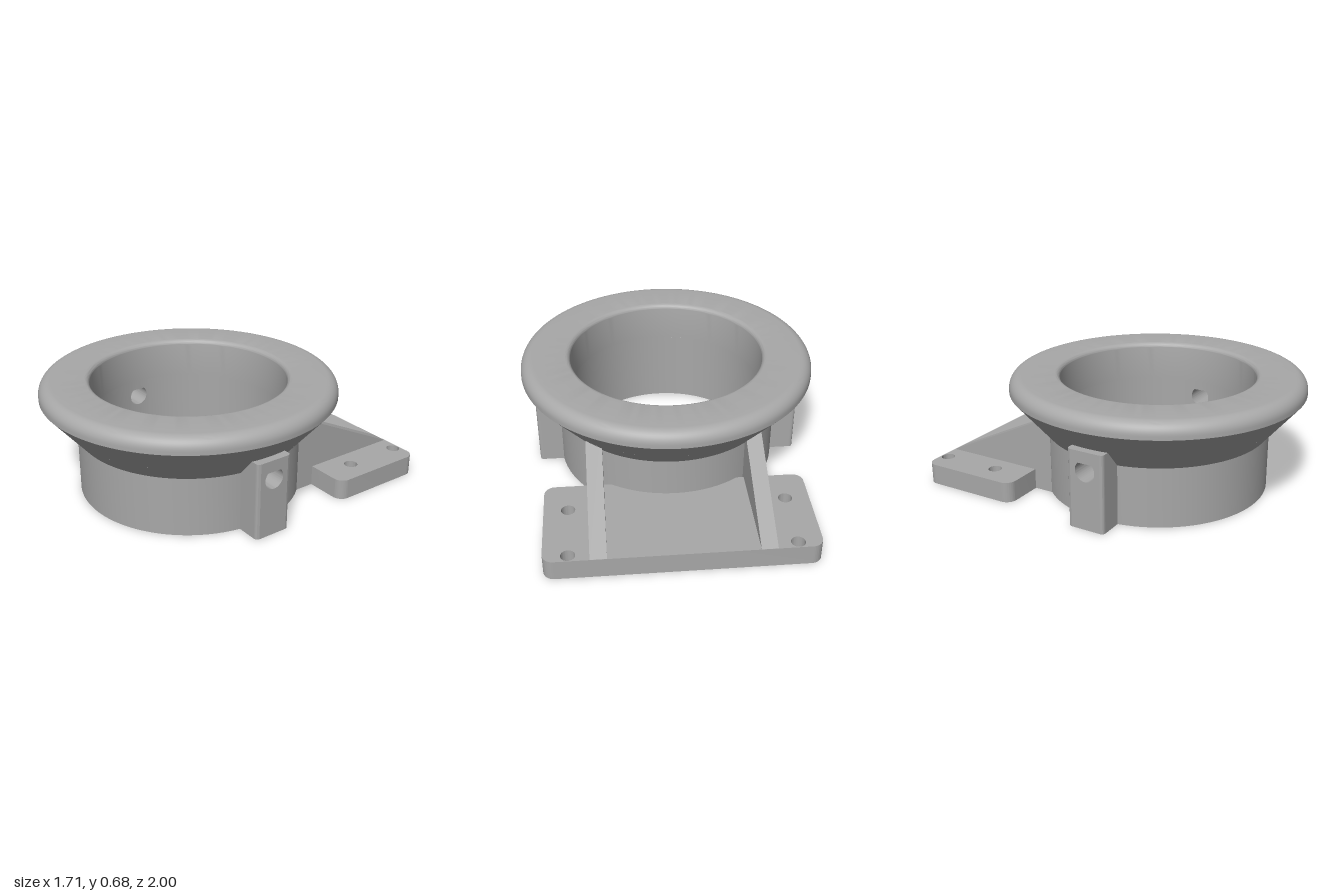
import * as THREE from 'three';
import { toCreasedNormals } from 'three/addons/utils/BufferGeometryUtils.js';

const BORE = 0.565, WALL = 0.65, RIM = 0.855;   // radii of the ring
const TOP = 0.675, CUT = 0.44;                  // rim height, height where side openings end
const HOLE = 0.06, HOLE_Y = 0.34;               // teardrop side hole
const PATCH = 0.07;                             // half width of the bore patch around a hole
const CENTRE_Z = 0.145;

export function createModel() {
  const model = new THREE.Group();
  model.name = 'flangedRingMount';
  const grey = new THREE.MeshStandardMaterial({ color: 0xa8a8a8 });
  grey.name = 'plain grey';

  const add = (parent, name, geometry) => {
    const mesh = new THREE.Mesh(toCreasedNormals(geometry, 0.35), grey);
    mesh.name = name;
    parent.add(mesh);
    return mesh;
  };
  const lathe = (points, segments = 128, start = 0, length = Math.PI * 2) =>
    new THREE.LatheGeometry(points.map(([r, y]) => new THREE.Vector2(r, y)), segments, start, length);
  const quarter = (r, y, radius, from) => Array.from({ length: 11 }, (_, i) => {
    const a = from + (i / 10) * Math.PI / 2;
    return [r + radius * Math.cos(a), y + radius * Math.sin(a)];
  });

  // Ring: rounded flange and upper cone, plus the flat foot
  const ring = new THREE.Group();
  ring.name = 'ring';
  ring.position.z = CENTRE_Z;
  model.add(ring);
  const coneAtCut = WALL + (RIM - WALL) * (CUT - 0.345) / 0.24;
  add(ring, 'flange', lathe([
    [coneAtCut, CUT], [RIM, 0.585],
    ...quarter(RIM - 0.07, TOP - 0.07, 0.07, 0),
    ...quarter(BORE + 0.03, TOP - 0.03, 0.03, Math.PI / 2),
    [BORE, CUT],
  ]));
  add(ring, 'foot', lathe([[BORE, 0], [WALL, 0]]));

  // One half of the wall, one lug and one holed patch, repeated half a turn round
  const gap = Math.asin(PATCH / BORE);
  for (const [side, turn] of [['left', 0], ['right', Math.PI]]) {
    const half = new THREE.Group();
    half.name = side + 'Half';
    half.rotation.y = turn;
    ring.add(half);
    const arc = [64, Math.PI / 2 + gap, Math.PI - 2 * gap];
    add(half, 'outerWall', lathe([[WALL, 0], [WALL, 0.345], [coneAtCut, CUT]], ...arc));
    add(half, 'bore', lathe([[BORE, CUT], [BORE, 0]], ...arc));
    add(half, 'borePatchBelowHole', borePatch(false));
    add(half, 'borePatchAboveHole', borePatch(true));
    add(half, 'lug', lugGeometry());
  }

  // Mounting plate with four screw holes and a notch that clears the bore
  const w = 0.74, back = 1, front = 0.395, c = 0.06;
  const plate = new THREE.Shape();
  const notch = Math.atan2(front + CENTRE_Z, Math.sqrt(0.36 - (front + CENTRE_Z) ** 2));
  plate.moveTo(w - c, front);
  plate.absarc(w - c, front + c, c, -Math.PI / 2, 0, false);
  plate.absarc(w - c, back - c, c, 0, Math.PI / 2, false);
  plate.absarc(c - w, back - c, c, Math.PI / 2, Math.PI, false);
  plate.absarc(c - w, front + c, c, Math.PI, Math.PI * 1.5, false);
  plate.absarc(0, -CENTRE_Z, 0.6, Math.PI - notch, notch, true);
  for (const x of [-0.605, 0.605]) {
    for (const z of [0.6, 0.957]) {
      plate.holes.push(new THREE.Path().absarc(x, z, 0.039, 0, Math.PI * 2, true));
    }
  }
  const plateGeometry = new THREE.ExtrudeGeometry(plate, { depth: 0.12, bevelEnabled: false, curveSegments: 24 });
  add(model, 'mountingPlate', plateGeometry.rotateX(-Math.PI / 2));

  // Sloping ribs between plate and ring
  const rib = new THREE.Shape([[0.28, 0], [0.999, 0], [0.999, 0.12], [0.28, 0.463]]
    .map(([z, y]) => new THREE.Vector2(z, y)));
  for (const [name, x] of [['leftRib', 0.403], ['rightRib', -0.493]]) {
    const geometry = new THREE.ExtrudeGeometry(rib, { depth: 0.09, bevelEnabled: false });
    add(model, name, geometry.rotateY(Math.PI / 2)).position.x = x;
  }
  return model;
}

// Strip of the bore wall that ends at the edge of the teardrop hole
function borePatch(above) {
  const geometry = new THREE.PlaneGeometry(2 * PATCH, 1, 56, 1);
  const p = geometry.attributes.position;
  for (let i = 0; i < p.count; i++) {
    const s = p.getX(i), a = Math.abs(s), high = p.getY(i) > 0;
    const round = Math.sqrt(Math.max(0, HOLE * HOLE - s * s));
    const peak = a < HOLE * Math.SQRT1_2 ? HOLE * Math.SQRT2 - a : round;
    const y = above ? (high ? CUT : HOLE_Y + peak) : (high ? HOLE_Y - round : 0);
    p.setXYZ(i, Math.sqrt(BORE * BORE - s * s), y, s);
  }
  return geometry;
}

// Side lug with a teardrop through hole and rounded outer vertical edges
function lugGeometry() {
  const halfWidth = 0.11, depth = 0.215, inner = 0.57, fillet = 0.02;
  const shape = new THREE.Shape([[-halfWidth, 0], [halfWidth, 0], [halfWidth, 0.45], [-halfWidth, 0.45]]
    .map(([u, y]) => new THREE.Vector2(u, y)));
  const hole = new THREE.Path();
  hole.moveTo(0, HOLE_Y + HOLE * Math.SQRT2);
  hole.absarc(0, HOLE_Y, HOLE, Math.PI * 0.75, Math.PI * 2.25, false);
  shape.holes.push(hole);
  const geometry = new THREE.ExtrudeGeometry(shape, { depth, steps: 43, bevelEnabled: false, curveSegments: 32 });
  const p = geometry.attributes.position;
  for (let i = 0; i < p.count; i++) {
    const u = p.getX(i), t = Math.max(0, p.getZ(i) - depth + fillet);
    if (Math.abs(u) > halfWidth - 0.001) {
      const reach = Math.sqrt(Math.max(0, fillet * fillet - t * t));
      p.setX(i, Math.sign(u) * (halfWidth - fillet + reach));
    }
  }
  return geometry.rotateY(Math.PI / 2).translate(inner, 0, 0);
}
